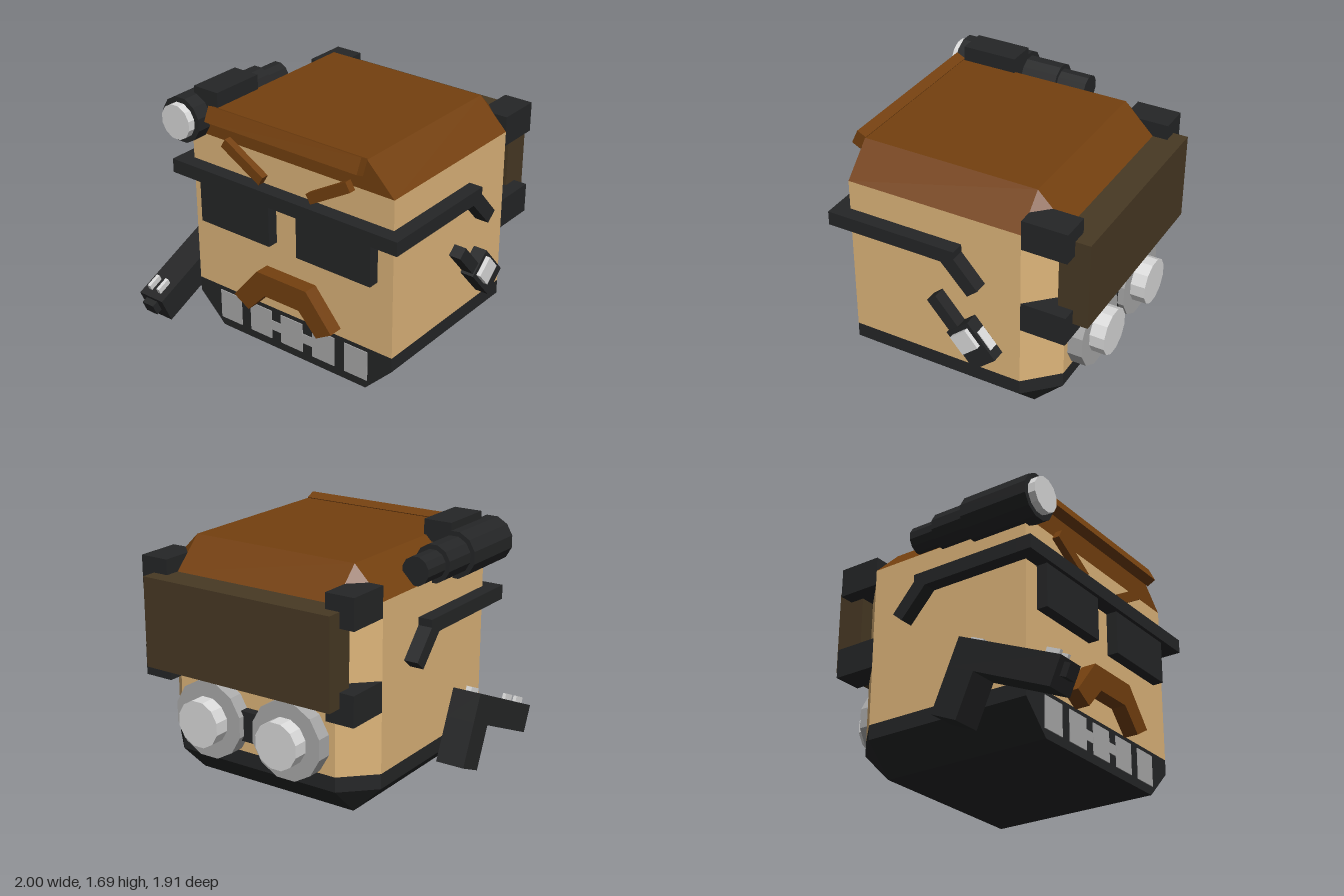
import * as THREE from 'three';

const mat = (name, color) => Object.assign(new THREE.MeshStandardMaterial({ color }), { name });

export function createModel() {
  const skin = mat('skin tan', 0xdeb57a);
  const hairBrown = mat('hair brown', 0x74400f);
  const black = mat('black', 0x252627);
  const khaki = mat('pack khaki', 0x483924);
  const grey = mat('metal grey', 0xaaaaaa);
  const light = mat('light metal', 0xdadada);

  const root = new THREE.Group();
  root.name = 'squareHead';

  const add = (name, geo, m, parent = root) => {
    const mesh = new THREE.Mesh(geo, m);
    mesh.name = name;
    parent.add(mesh);
    return mesh;
  };
  // Box given by its lower and upper limits
  const box = (name, m, [x0, x1], [y0, y1], [z0, z1], parent = root) => {
    const g = new THREE.BoxGeometry(x1 - x0, y1 - y0, z1 - z0);
    g.translate((x0 + x1) / 2, (y0 + y1) / 2, (z0 + z1) / 2);
    return add(name, g, m, parent);
  };
  // Twelve-sided drum lying along x; r is measured to the flats
  const drum = (name, m, r, x0, x1, y, z, parent = root) => {
    const R = r / Math.cos(Math.PI / 12);
    const g = new THREE.CylinderGeometry(R, R, x1 - x0, 12, 1, false, Math.PI / 12).toNonIndexed();
    g.rotateZ(-Math.PI / 2);
    g.translate((x0 + x1) / 2, y, z);
    g.computeVertexNormals();
    return add(name, g, m, parent);
  };
  const extrude = (pts, depth) => new THREE.ExtrudeGeometry(
    new THREE.Shape(pts.map(p => new THREE.Vector2(...p))), { depth, bevelEnabled: false });

  // Faceted loft through rings of [x, z] points at given heights
  const loft = (levels) => {
    const v = [];
    const tri = (...ps) => ps.forEach(p => v.push(...p));
    const rings = levels.map(([y, ring]) => ring.map(([x, z]) => [x, y, z]));
    const n = rings[0].length;
    for (let k = 0; k + 1 < rings.length; k++) {
      for (let i = 0; i < n; i++) {
        const j = (i + 1) % n, lo = rings[k], hi = rings[k + 1];
        tri(lo[i], lo[j], hi[j]);
        tri(lo[i], hi[j], hi[i]);
      }
    }
    const bottom = rings[0], top = rings[rings.length - 1];
    for (let i = 1; i + 1 < n; i++) {
      tri(top[0], top[i], top[i + 1]);
      tri(bottom[0], bottom[i + 1], bottom[i]);
    }
    const g = new THREE.BufferGeometry();
    g.setAttribute('position', new THREE.Float32BufferAttribute(v, 3));
    g.computeVertexNormals();
    return g;
  };

  // Head: chamfered block in three colour bands
  const zF = 0.83, zB = -0.76, zMid = 0.035;
  const full = [[-0.59, zF], [0.6, zF], [0.8, 0.63], [0.8, -0.56], [0.6, zB], [-0.59, zB]];
  const inset = [[-0.59, 0.63], [0.6, 0.63], [0.6, 0.63], [0.6, -0.56], [0.6, -0.56], [-0.59, -0.56]];
  add('jaw', loft([[0, inset], [0.2, full], [0.3, full]]), black);
  add('head', loft([[0.3, full], [1.39, full]]), skin);
  add('hair', loft([[1.39, full], [1.59, inset]]), hairBrown);
  const fringe = add('fringe', extrude(
    [[-0.645, 1.625], [-0.69, 1.53], [-0.63, 1.5], [-0.585, 1.595]], 1.19), hairBrown);
  fringe.position.z = -0.56;

  // Pack with its four corner brackets
  box('pack', khaki, [0.8, 1], [0.8, 1.39], [-0.66, 0.735]);
  for (const y of [0.7, 1.29]) {
    for (const z of [[0.63, zF], [zB, -0.56]]) box('packBracket', black, [0.6, 0.9], [y, y + 0.2], z);
  }

  // Twin discs below the pack
  for (const s of [-1, 1]) {
    drum('disc', grey, 0.25, 0.8, 0.9, 0.5, zMid + s * 0.3);
    drum('discHub', light, 0.15, 0.9, 1, 0.5, zMid + s * 0.3);
  }
  box('discBridge', black, [0.79, 0.86], [0.4, 0.6], [-0.06, 0.13]);

  // Glasses: brow bar, two lenses and bent arms
  const glasses = new THREE.Group();
  glasses.name = 'glasses';
  root.add(glasses);
  box('glassesBar', black, [-0.69, -0.59], [1.095, 1.19], [-0.855, 0.925], glasses);
  for (const s of [-1, 1]) {
    const c = zMid + s * 0.395;
    box('glassesLens', black, [-0.665, -0.59], [0.8, 1.1], [c - 0.285, c + 0.285], glasses);
    const arm = add('glassesArm', extrude([[-0.59, 1.095], [0.11, 1.095], [0.29, 0.9],
      [0.36, 0.96], [0.2, 1.14], [0.2, 1.19], [-0.59, 1.19]], 0.095), black, glasses);
    arm.position.z = s > 0 ? zF : zB - 0.095;
  }

  // Slanted eyebrows
  for (const s of [-1, 1]) {
    const brow = add('eyebrow', new THREE.BoxGeometry(0.05, 0.07, 0.35), hairBrown);
    brow.position.set(-0.615, 1.31, zMid + s * 0.34);
    brow.rotation.x = -s * Math.PI / 6;
  }

  // Arched moustache
  const moustache = add('moustache', extrude([[-0.2, 0.6], [-0.4, 0.36], [-0.28, 0.29], [-0.14, 0.44],
    [0.14, 0.44], [0.28, 0.29], [0.4, 0.36], [0.2, 0.6]], 0.1), hairBrown);
  moustache.rotation.y = -Math.PI / 2;
  moustache.position.set(-0.59, 0, zMid);

  // Teeth on the jaw
  for (let i = -2; i <= 2; i++) {
    const c = zMid + i * 0.26;
    box('tooth', grey, [-0.596, -0.589], [0.06, 0.27], [c - 0.09, c + 0.09]);
  }
  box('gum', grey, [-0.595, -0.589], [0.13, 0.2], [zMid - 0.32, zMid + 0.32]);

  // Scope lying along the back upper edge
  const scope = new THREE.Group();
  scope.name = 'scope';
  root.add(scope);
  drum('scopeGlass', light, 0.115, -0.74, -0.69, 1.49, zB, scope);
  drum('scopeBody', black, 0.15, -0.69, -0.2, 1.49, zB, scope);
  drum('scopeNeck', black, 0.12, -0.2, 0.05, 1.49, zB, scope);
  drum('scopeEyepiece', black, 0.09, 0.05, 0.25, 1.49, zB, scope);
  box('scopeMount', black, [-0.58, -0.2], [1.55, 1.69], [-0.74, -0.545], scope);

  // Pistol on the back side, tilted up toward the grip
  const pistol = new THREE.Group();
  pistol.name = 'pistol';
  pistol.position.set(-0.965, 0.28, 0);
  pistol.rotation.z = 0.413;
  root.add(pistol);
  box('pistolSlide', black, [0, 0.78], [-0.19, 0], [-0.96, zB], pistol);
  box('pistolGrip', black, [0.58, 0.78], [-0.49, -0.19], [-0.96, zB], pistol);
  box('pistolMuzzle', black, [-0.045, 0], [-0.11, -0.025], [-0.91, -0.815], pistol);
  for (const z of [-0.905, -0.825]) {
    box('frontSight', light, [0.05, 0.15], [0, 0.04], [z - 0.012, z + 0.012], pistol);
  }
  box('rearSight', light, [0.66, 0.76], [0, 0.03], [-0.88, -0.84], pistol);

  // Slanted tool on the front side
  const tool = new THREE.Group();
  tool.name = 'tool';
  tool.position.set(0.31, 0.527, 0);
  tool.rotation.z = -0.855;
  root.add(tool);
  box('toolBlock', black, [-0.145, 0.145], [-0.098, 0.098], [zF, 0.925], tool);
  box('toolHandle', black, [-0.38, -0.145], [-0.08, 0], [zF, 0.915], tool);
  box('toolFrontPlate', light, [-0.115, 0.02], [-0.07, 0.07], [0.925, 0.955], tool);
  box('toolSidePlate', light, [-0.06, 0.08], [0.098, 0.105], [0.837, 0.905], tool);

  return root;
}
